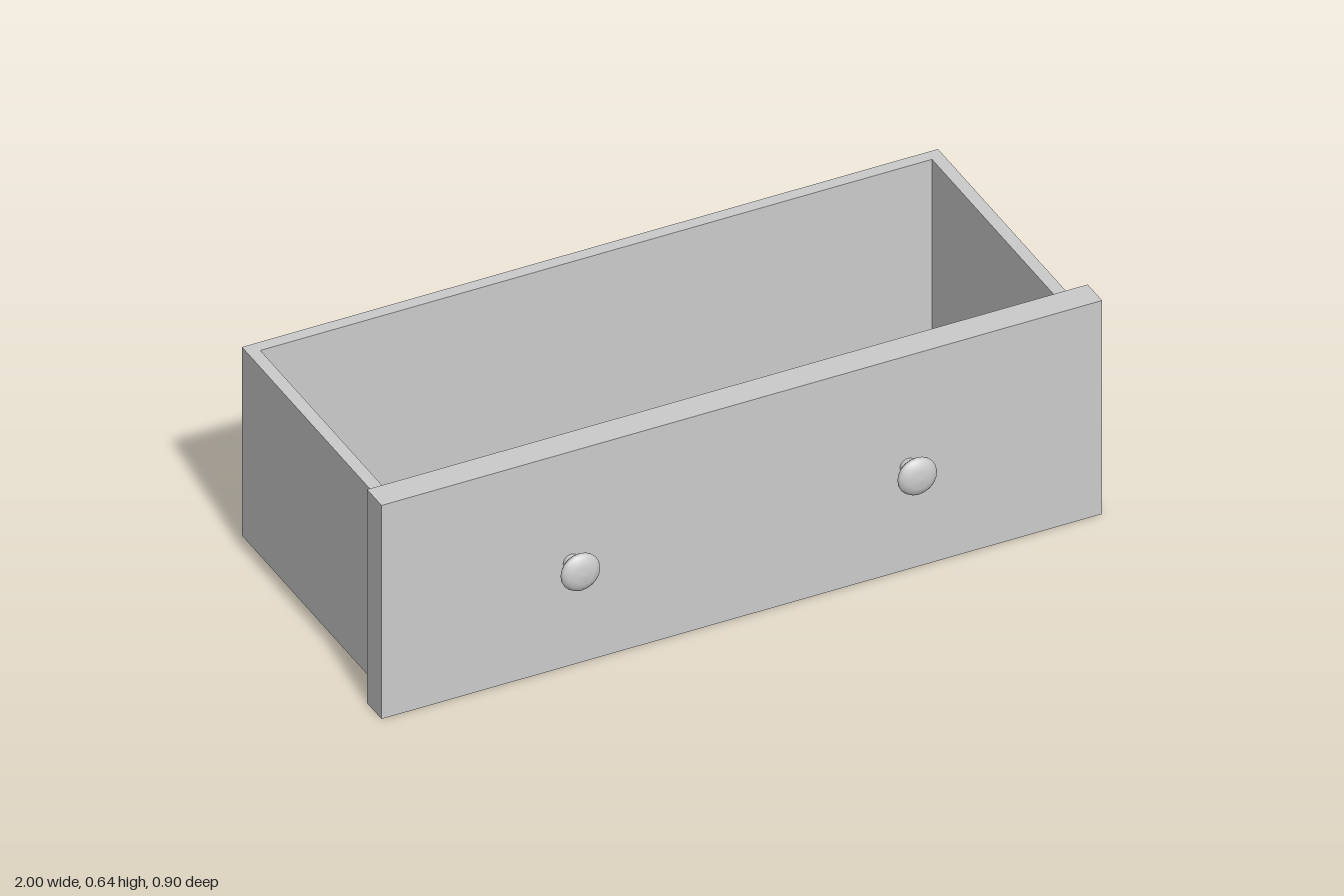
import * as THREE from 'three';

const material = new THREE.MeshStandardMaterial({ color: 0xcccccc });

function addMesh(parent, name, geometry, x, y, z) {
  const mesh = new THREE.Mesh(geometry, material);
  mesh.name = name;
  mesh.position.set(x, y, z);
  parent.add(mesh);
  return mesh;
}

// Rectangle outline centred on the origin
function rectangle(Type, w, d) {
  const x = w / 2, y = d / 2;
  return new Type([[-x, -y], [x, -y], [x, y], [-x, y]].map(p => new THREE.Vector2(...p)));
}

export function createModel() {
  const drawer = new THREE.Group();
  drawer.name = 'drawer';

  const bottom = 0.038, top = 0.602, back = -0.449, front = 0.3;
  const width = 1.932, depth = front - back, wall = 0.034, floor = 0.034;
  const boxX = -0.002, boxZ = (front + back) / 2;

  // Open box: four walls as one rectangular ring, closed by the floor
  const ring = rectangle(THREE.Shape, width, depth);
  ring.holes.push(rectangle(THREE.Path, width - 2 * wall, depth - 2 * wall));
  const walls = new THREE.ExtrudeGeometry(ring, { depth: top - bottom, bevelEnabled: false });
  walls.rotateX(-Math.PI / 2);
  addMesh(drawer, 'boxWalls', walls, boxX, bottom, boxZ);
  addMesh(drawer, 'boxFloor',
    new THREE.BoxGeometry(width - 2 * wall, floor, depth - 2 * wall),
    boxX, bottom + floor / 2, boxZ);

  // Overhanging front panel
  addMesh(drawer, 'frontPanel', new THREE.BoxGeometry(2, 0.639, 0.079), 0, 0.3195, 0.3395);

  // Round knobs: short stem and flattened rounded head, turned about the z axis
  const headProfile = [
    [0, 0.028], [0.022, 0.03], [0.036, 0.032], [0.047, 0.04], [0.053, 0.048],
    [0.054, 0.053], [0.051, 0.06], [0.041, 0.068], [0.026, 0.073], [0, 0.075],
  ].map(([r, h]) => new THREE.Vector2(r, h));
  const head = new THREE.LatheGeometry(headProfile, 20).rotateX(Math.PI / 2);
  const stem = new THREE.CylinderGeometry(0.022, 0.022, 0.034, 20).rotateX(Math.PI / 2);
  for (const [name, x] of [['rightKnob', -0.474], ['leftKnob', 0.461]]) {
    const knob = new THREE.Group();
    knob.name = name;
    knob.position.set(x, 0.31, 0.378);
    addMesh(knob, 'knobStem', stem, 0, 0, 0.017);
    addMesh(knob, 'knobHead', head, 0, 0, 0);
    drawer.add(knob);
  }
  return drawer;
}
